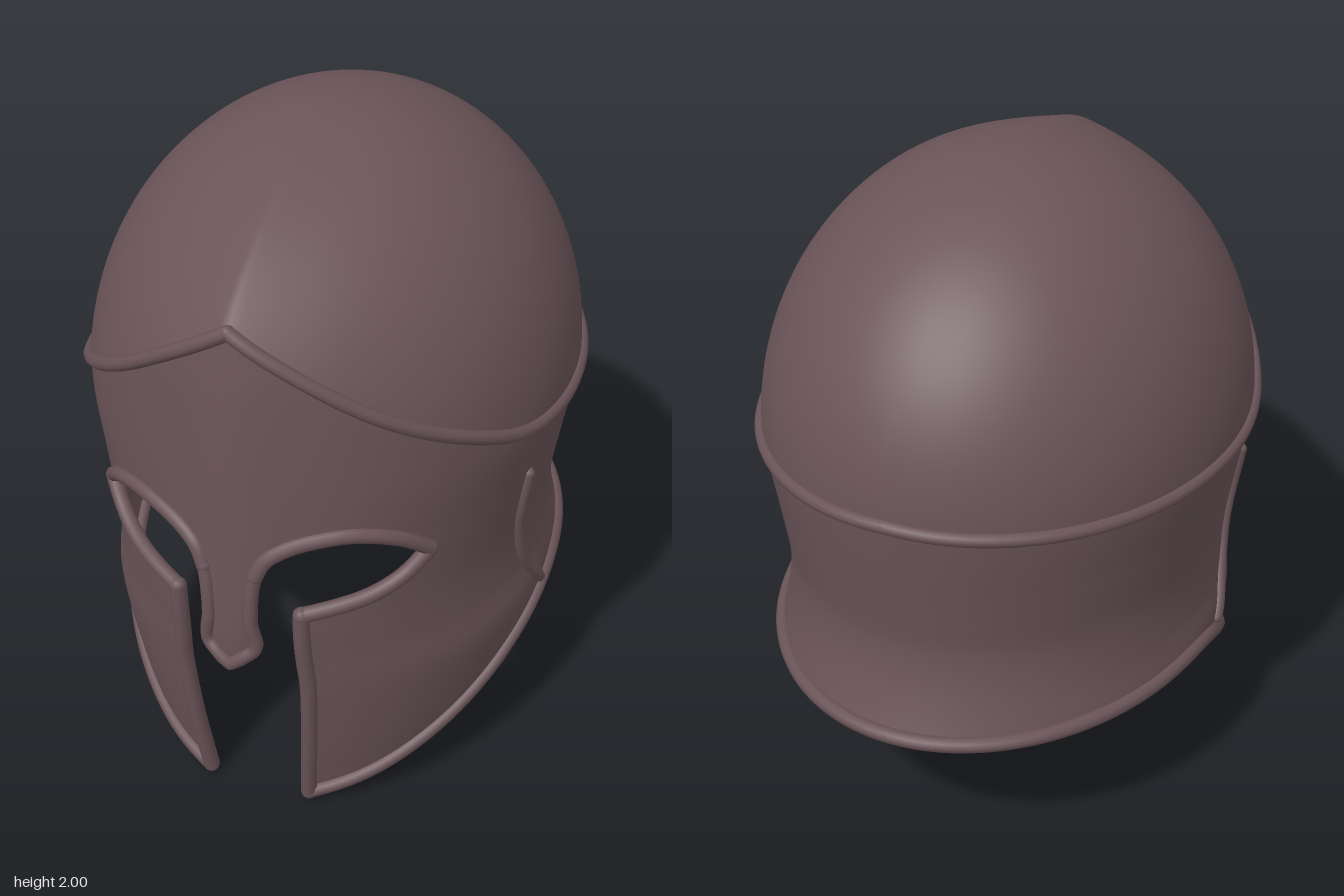
import * as THREE from 'three';
import { mergeVertices } from 'three/addons/utils/BufferGeometryUtils.js';

// Smooth interpolation through [input, value] pairs
function profile(pts) {
  const slope = (i) => {
    const p = pts[Math.max(i - 1, 0)], q = pts[Math.min(i + 1, pts.length - 1)];
    return (q[1] - p[1]) / (q[0] - p[0]);
  };
  return (t) => {
    if (t <= pts[0][0]) return pts[0][1];
    let i = 0;
    while (i < pts.length - 2 && t > pts[i + 1][0]) i++;
    const [x0, y0] = pts[i], [x1, y1] = pts[i + 1], h = x1 - x0;
    const s = Math.min((t - x0) / h, 1), s2 = s * s, s3 = s2 * s;
    return y0 * (2 * s3 - 3 * s2 + 1) + y1 * (3 * s2 - 2 * s3)
      + h * (slope(i) * (s3 - 2 * s2 + s) + slope(i + 1) * (s3 - s2));
  };
}

// Half width, front depth, back depth and nose ridge by height
const halfWidth = profile([[0, 0.56], [0.1, 0.585], [0.23, 0.622], [0.38, 0.655], [0.53, 0.675],
  [0.65, 0.656], [0.8, 0.653], [1, 0.682], [1.22, 0.715], [1.7, 0.7]]);
const frontDepth = profile([[0, 0.715], [0.25, 0.755], [0.53, 0.79], [0.8, 0.82], [1.2, 0.82], [1.5, 0.81], [1.7, 0.79]]);
const backDepth = profile([[0.53, 0.882], [0.6, 0.853], [0.7, 0.82], [0.8, 0.806], [0.9, 0.815], [1.1, 0.84], [1.24, 0.855]]);
const noseRidge = profile([[0, 0], [0.5, 0.05], [0.65, 0.06], [0.9, 0.045], [1.2, 0.03], [1.7, 0.008]]);

// Height of the lower edge and of the brow line by angle from the front
const lowerEdge = profile([[0.288, 0.028], [0.64, 0.11], [0.98, 0.235], [1.31, 0.385], [1.57, 0.495], [1.72, 0.528], [2, 0.535], [Math.PI, 0.535]]);
const browLine = profile([[0, 1.69], [0.29, 1.565], [0.61, 1.425], [0.97, 1.295], [1.2, 1.23], [1.45, 1.207], [1.8, 1.205], [2.3, 1.212], [Math.PI, 1.235]]);

// Point of the helmet wall at an angle and height
function wall(angle, y) {
  const x = halfWidth(y) * Math.sin(angle), c = Math.cos(angle);
  const z = c > 0 ? frontDepth(y) * c + noseRidge(y) * Math.exp(-((x / 0.13) ** 2)) : backDepth(y) * c;
  return new THREE.Vector3(x, y, z);
}

const fromX = ([x, y]) => new THREE.Vector2(Math.asin(x / halfWidth(y)), y);
const fromZ = ([z, y]) => new THREE.Vector2(Math.acos(z / frontDepth(y)), y);
const smoothPath = (pts, n) => new THREE.SplineCurve(pts).getPoints(n);

function anglePath(from, to, n, height) {
  return Array.from({ length: n + 1 }, (_, i) => {
    const a = from + (to - from) * i / n;
    return new THREE.Vector2(a, height(a));
  });
}

// Collects mirrored grids of points into one smooth geometry
class Skin {
  positions = [];
  index = [];
  grid(columns, rows, pointAt) {
    for (const side of [1, -1]) {
      const base = this.positions.length / 3;
      for (let i = 0; i <= columns; i++) for (let j = 0; j <= rows; j++) {
        const p = pointAt(i, j / rows);
        this.positions.push(p.x * side, p.y, p.z);
      }
      for (let i = 0; i < columns; i++) for (let j = 0; j < rows; j++) {
        const a = base + i * (rows + 1) + j, b = a + rows + 1;
        if (side > 0) this.index.push(a, b, a + 1, b, b + 1, a + 1);
        else this.index.push(a, a + 1, b, b, a + 1, b + 1);
      }
    }
  }
  // Wall area between two paths of equal length
  between(low, high, rows) {
    this.grid(low.length - 1, rows, (i, t) => {
      const p = low[i].clone().lerp(high[i], t);
      return wall(p.x, p.y);
    });
  }
  build() {
    const g = new THREE.BufferGeometry();
    g.setAttribute('position', new THREE.Float32BufferAttribute(this.positions, 3));
    g.setIndex(this.index);
    const merged = mergeVertices(g, 1e-4);
    merged.computeVertexNormals();
    return merged;
  }
}

export function createModel() {
  const helmet = new THREE.Group();
  helmet.name = 'helmet';
  const bronze = new THREE.MeshStandardMaterial({ color: 0x6a5458, side: THREE.DoubleSide });
  bronze.name = 'dark bronze';

  const add = (geometry, name, parent = helmet) => {
    const m = new THREE.Mesh(geometry, bronze);
    m.name = name;
    parent.add(m);
    return m;
  };

  // Outlines of the nose guard and eye opening
  const nose = smoothPath([[0, 0.64], [0.04, 0.672], [0.073, 0.712], [0.062, 0.8], [0.066, 0.9], [0.076, 0.96]].map(fromX), 24);
  const eyeTop = smoothPath([[0.076, 0.96], [0.11, 1.02], [0.2, 1.066], [0.32, 1.083], [0.42, 1.045], [0.485, 0.975]].map(fromX), 32);
  const eyeBottom = smoothPath([[0.187, 0.812], [0.27, 0.832], [0.36, 0.86], [0.43, 0.905], [0.485, 0.975]].map(fromX), 24);
  const slot = eyeBottom[0].x, corner = eyeTop[eyeTop.length - 1].x;
  const cornerY = () => 0.975;
  const over = (path, height) => path.map((p) => new THREE.Vector2(p.x, height(p.x)));

  // Face, cheeks, sides and neck
  const shell = new Skin();
  const noseCentre = nose.map((_, i) => new THREE.Vector2(0, 0.64 + 0.32 * i / (nose.length - 1)));
  shell.between(nose, noseCentre, 6);
  const forehead = [...anglePath(0, nose[nose.length - 1].x, 6, () => 0.96), ...eyeTop.slice(1)];
  shell.between(forehead, over(forehead, browLine), 24);
  shell.between(over(eyeBottom, lowerEdge), eyeBottom, 24);
  const sideMiddle = anglePath(corner, Math.PI, 64, cornerY);
  shell.between(over(sideMiddle, lowerEdge), sideMiddle, 24);
  shell.between(sideMiddle, over(sideMiddle, browLine), 24);
  add(shell.build(), 'faceAndNeckShell');

  // Dome: elliptical arcs rising from the brow line to the crown
  const dome = new Skin();
  dome.grid(80, 36, (i, t) => {
    const angle = Math.PI * i / 80, foot = wall(angle, browLine(angle));
    const start = Math.asin(Math.max(0, (foot.y - 1.205) / 0.795));
    const phi = start + (Math.PI / 2 - start) * t;
    const reach = Math.cos(phi) / Math.cos(start);
    const y = foot.y + (2 - foot.y) * (Math.sin(phi) - Math.sin(start)) / (1 - Math.sin(start));
    return new THREE.Vector3(foot.x * reach, y, foot.z * reach);
  });
  add(dome.build(), 'dome');

  // Rounded rims lying on the wall, mirrored, with ball ends
  function rim(path, radius, name) {
    const group = new THREE.Group();
    group.name = name;
    for (const side of [1, -1]) {
      const pts = path.map((p) => wall(p.x * side, p.y));
      add(new THREE.TubeGeometry(new THREE.CatmullRomCurve3(pts), pts.length * 2, radius, 10), name + 'Bead', group);
      for (const end of [pts[0], pts[pts.length - 1]]) {
        add(new THREE.SphereGeometry(radius, 12, 8), name + 'End', group).position.copy(end);
      }
    }
    helmet.add(group);
  }
  rim(nose, 0.021, 'noseRim');
  rim(eyeTop, 0.023, 'upperEyeRim');
  rim(eyeBottom, 0.023, 'lowerEyeRim');
  rim(Array.from({ length: 17 }, (_, i) => new THREE.Vector2(slot, lowerEdge(slot) + (0.812 - lowerEdge(slot)) * i / 16)), 0.025, 'cheekFrontRim');
  rim(anglePath(slot, Math.PI, 64, lowerEdge), 0.024, 'lowerRim');
  rim(anglePath(0, Math.PI, 64, browLine), 0.021, 'browRim');
  rim(smoothPath([[0.22, 1.03], [0.217, 0.92], [0.195, 0.8], [0.15, 0.67], [0.04, 0.52]].map(fromZ), 24), 0.019, 'cheekRidge');

  return helmet;
}
